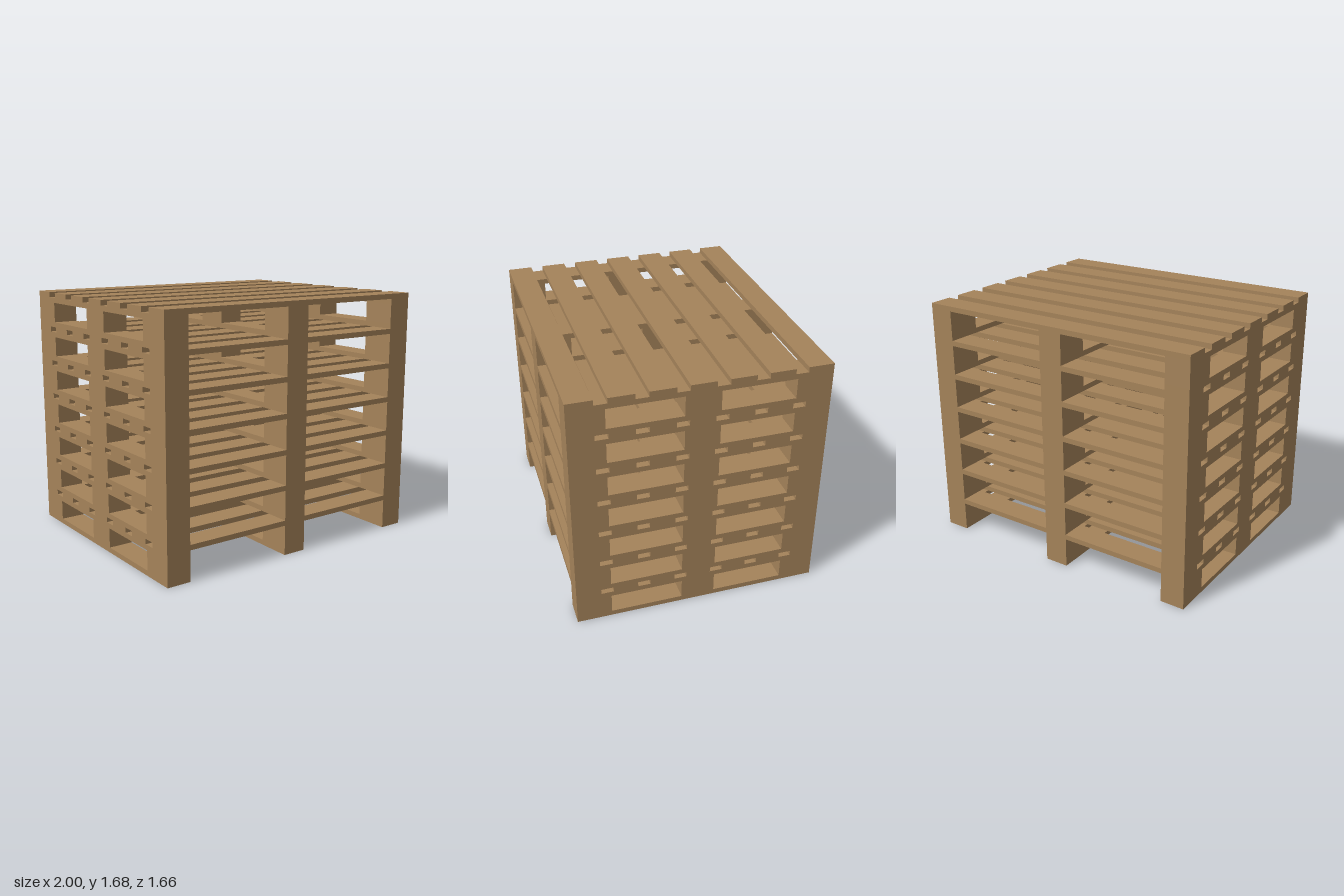
import * as THREE from 'three';

const LAYERS = 7, LAYER_H = 0.24;
const WIDTH = 2, DEPTH = 1.664;
const BOARD_W = 0.166, BOARD_H = 0.035, BLOCK_H = 0.135;
const SLATS = 7;

export function createModel() {
  const wood = new THREE.MeshStandardMaterial({ color: 0xa5835a });
  wood.name = 'wood';

  const slatGeo = new THREE.BoxGeometry(WIDTH, BOARD_H, BOARD_W);
  const runnerGeo = new THREE.BoxGeometry(BOARD_W, BOARD_H, DEPTH);
  const endBlockGeo = new THREE.BoxGeometry(BOARD_W, BLOCK_H, 0.234);
  const midBlockGeo = new THREE.BoxGeometry(BOARD_W, BLOCK_H, 0.228);

  function add(parent, name, geo, x, bottom, z) {
    const mesh = new THREE.Mesh(geo, wood);
    mesh.name = name;
    mesh.position.set(x, bottom + geo.parameters.height / 2, z);
    parent.add(mesh);
  }

  function pallet() {
    const group = new THREE.Group();
    const sideX = (WIDTH - BOARD_W) / 2;
    const endZ = (DEPTH - 0.234) / 2;
    // three rows of runner, blocks and stringer, front to back
    for (const x of [-sideX, 0, sideX]) {
      add(group, 'bottomRunner', runnerGeo, x, 0, 0);
      add(group, 'frontBlock', endBlockGeo, x, BOARD_H, endZ);
      add(group, 'middleBlock', midBlockGeo, x, BOARD_H, 0);
      add(group, 'backBlock', endBlockGeo, x, BOARD_H, -endZ);
      add(group, 'stringer', runnerGeo, x, BOARD_H + BLOCK_H, 0);
    }
    // deck slats across the top
    const pitch = (DEPTH - BOARD_W) / (SLATS - 1);
    for (let i = 0; i < SLATS; i++) {
      add(group, 'deckSlat', slatGeo, 0, 2 * BOARD_H + BLOCK_H, (i - (SLATS - 1) / 2) * pitch);
    }
    return group;
  }

  // stack of identical pallets
  const model = new THREE.Group();
  model.name = 'palletStack';
  for (let i = 0; i < LAYERS; i++) {
    const p = pallet();
    p.name = `pallet${i + 1}`;
    p.position.y = i * LAYER_H;
    model.add(p);
  }
  return model;
}
